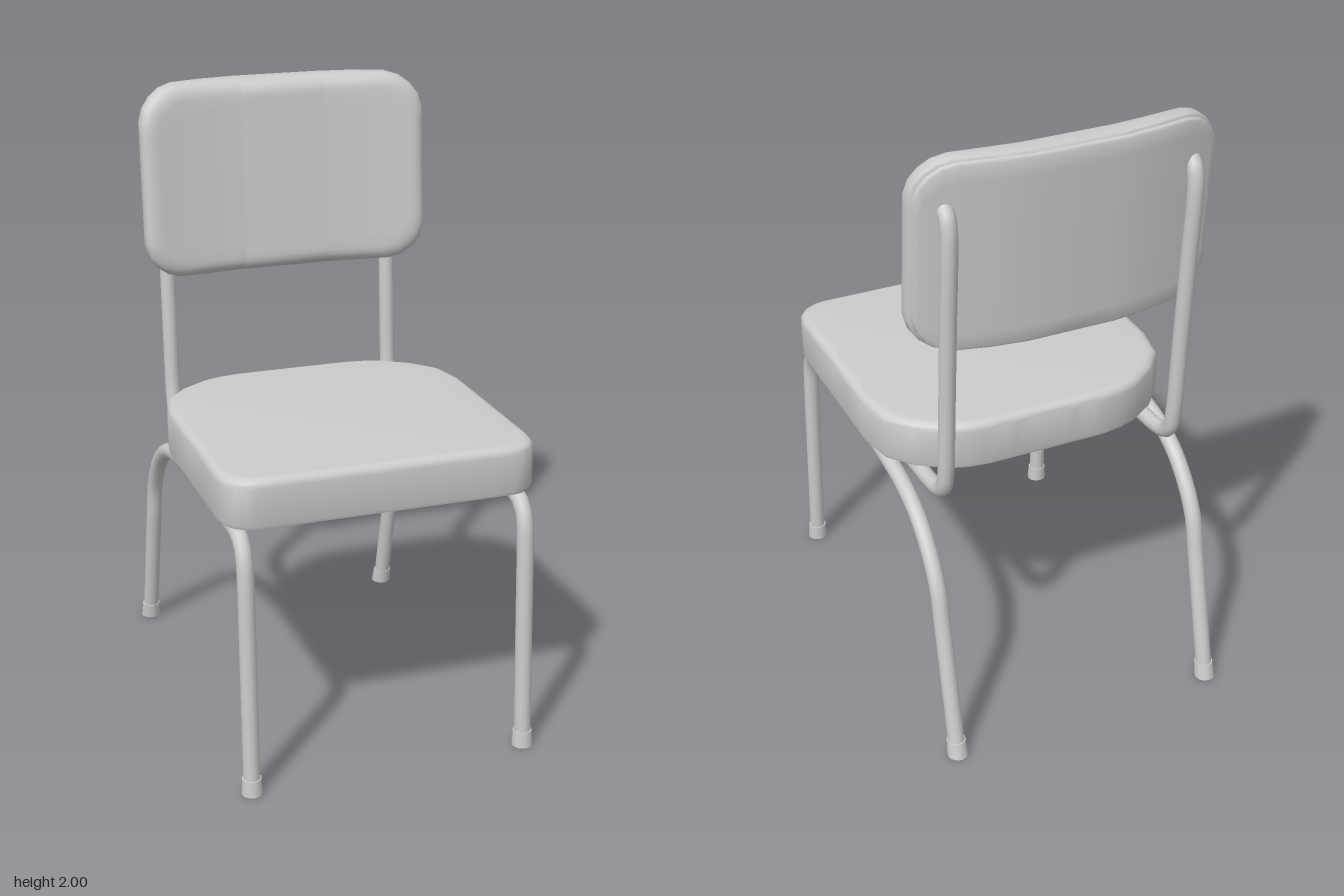
import * as THREE from 'three';
import { toCreasedNormals } from 'three/addons/utils/BufferGeometryUtils.js';

const material = new THREE.MeshStandardMaterial({ color: 0xcccccc });

function add(parent, name, geometry) {
  const mesh = new THREE.Mesh(geometry, material);
  mesh.name = name;
  parent.add(mesh);
  return mesh;
}

// Rounded slab. stations: [t, half width]; profile: [inset, depth] from bottom
// to top; map(t, s, d) places each point (right-handed t, s, d).
function slab(stations, profile, map, cells = 12) {
  const t0 = stations[0][0], t1 = stations[stations.length - 1][0];
  const mid = (t0 + t1) / 2, half = (t1 - t0) / 2;
  const wide = Math.max(...stations.map((s) => s[1]));
  const positions = [];
  const quad = (a, b, c, d) => positions.push(...a, ...b, ...c, ...a, ...c, ...d);
  const shrink = (t, s, inset) => [mid + (t - mid) * (1 - inset / half), s * (1 - inset / wide)];
  const point = (t, s, [inset, d]) => map(...shrink(t, s, inset), d);

  // Outline, with the straight ends and sides cut into cells
  const across = (i, k) => [stations[i][0], stations[i][1] * (2 * k / cells - 1)];
  const last = stations.length - 1;
  const outline = [];
  for (let i = 0; i < last; i++) outline.push(across(i, 0));
  for (let k = 0; k < cells; k++) outline.push(across(last, k));
  for (let i = last; i > 0; i--) outline.push(across(i, cells));
  for (let k = cells; k > 0; k--) outline.push(across(0, k));

  // Rim
  for (let r = 0; r < profile.length - 1; r++) {
    outline.forEach((p, j) => {
      const q = outline[(j + 1) % outline.length];
      quad(point(...p, profile[r]), point(...q, profile[r]),
        point(...q, profile[r + 1]), point(...p, profile[r + 1]));
    });
  }
  // Top and bottom faces
  const top = profile[profile.length - 1], bottom = profile[0];
  for (let i = 0; i < last; i++) {
    for (let k = 0; k < cells; k++) {
      const c = [across(i, k), across(i + 1, k), across(i + 1, k + 1), across(i, k + 1)];
      quad(...c.map((p) => point(...p, top)));
      quad(...c.reverse().map((p) => point(...p, bottom)));
    }
  }
  const geometry = new THREE.BufferGeometry();
  geometry.setAttribute('position', new THREE.Float32BufferAttribute(positions, 3));
  return toCreasedNormals(geometry, 0.6);
}

// Quarter-round edge ending at depth d
function roundEdge(r, d, steps = 5) {
  return Array.from({ length: steps + 1 }, (_, i) => {
    const a = (i / steps) * Math.PI / 2;
    return [r * (1 - Math.cos(a)), d - r + r * Math.sin(a)];
  });
}

// Bent pipe in a plane of constant x; points are [z, y]
function pipe(x, points, radius) {
  const curve = new THREE.CatmullRomCurve3(points.map(([z, y]) => new THREE.Vector3(x, y, z)), false, 'centripetal');
  return new THREE.TubeGeometry(curve, 72, radius, 12);
}

function createSeat(group) {
  const stations = [
    [-0.35, 0.2], [-0.34, 0.27], [-0.32, 0.33], [-0.26, 0.42], [-0.18, 0.485], [-0.06, 0.51],
    [0.08, 0.51], [0.22, 0.51], [0.36, 0.51], [0.5, 0.51], [0.55, 0.5], [0.585, 0.475], [0.605, 0.44], [0.61, 0.41],
  ];
  const profile = [[0.015, 0.855], [0.004, 0.86], [0, 0.872], ...roundEdge(0.028, 1.018)];
  const crown = (z, x) => 0.01 * Math.max(0, 1 - (x / 0.46) ** 2) * Math.max(0, 1 - ((z - 0.13) / 0.44) ** 2);
  add(group, 'seatCushion', slab(stations, profile,
    (z, x, d) => [x, d + (d > 1.017 ? crown(z, x) : 0), z]));
}

function createBackrest(group) {
  const halfOutline = [[0.145, 0.32], [0.26, 0.32], [0.37, 0.318], [0.415, 0.305], [0.45, 0.28], [0.477, 0.245], [0.49, 0.2]];
  const mirrored = [...halfOutline].reverse().map(([x, h]) => [-x, h]);
  const stations = [...mirrored, [0, 0.32], ...halfOutline];

  // Wraps forward at both sides and leans back towards the top
  const wrap = (x, s, d) => {
    const u = Math.max(0, Math.abs(x) - 0.145) / 0.345;
    const front = THREE.MathUtils.clamp((d + 0.5) / 0.1, 0, 1);
    return [x, 1.68 + s, d - 0.08 * s + (0.035 * u + 0.04 * u * u) * (1 - 0.4 * front)];
  };
  add(group, 'backrestPad', slab(stations,
    [[0.012, -0.503], [0.003, -0.497], [0, -0.485], ...roundEdge(0.05, -0.4)], wrap));
  add(group, 'backrestShell', slab(stations,
    [[0.018, -0.522], [0.01, -0.518], [0.008, -0.505], [0.012, -0.5]], wrap));

  // Middle upholstery panel, slightly proud of the pad
  const centre = [[-0.145, 0.319], [0, 0.319], [0.145, 0.319]];
  const panel = slab(centre, [[0, -0.49], [0, -0.44], [0, -0.396]],
    (x, s, d) => {
      // Follow the pad's rounded top and bottom edges
      const over = Math.max(0, Math.abs(s) - 0.27) / 0.05;
      const limit = -0.447 + 0.05 * Math.sqrt(Math.max(0, 1 - over * over));
      return wrap(x, s, Math.min(d, limit));
    }, 40);
  add(group, 'backrestCentrePanel', panel);
}

// Rubber foot, sheared to follow the leg while staying flat on the floor
function foot(x, z, slope) {
  const shear = new THREE.Matrix4().set(1, 0, 0, x, 0, 1, 0, 0, 0, slope, 1, z, 0, 0, 0, 1);
  return new THREE.CylinderGeometry(0.031, 0.034, 0.052, 12).translate(0, 0.026, 0).applyMatrix4(shear);
}

function createFrameSide(group, side) {
  const legX = side * 0.455, postX = side * 0.395;
  const frame = new THREE.Group();
  frame.name = side > 0 ? 'leftFrame' : 'rightFrame';
  group.add(frame);

  // Front leg, seat rail and rear leg in one pipe
  add(frame, 'legPipe', pipe(legX, [
    [0.649, 0.01], [0.632, 0.35], [0.612, 0.72], [0.605, 0.765], [0.585, 0.805], [0.545, 0.828], [0.48, 0.831],
    [0.25, 0.831], [0.03, 0.828], [-0.12, 0.818], [-0.24, 0.798], [-0.34, 0.76], [-0.43, 0.69],
    [-0.51, 0.575], [-0.545, 0.44], [-0.6, 0.21], [-0.647, 0.01],
  ], 0.027));
  add(frame, 'frontFoot', foot(legX, 0.65, -0.05));
  add(frame, 'rearFoot', foot(legX, -0.65, 0.23));

  // Back post: runs under the seat, turns up and hooks into the backrest
  const post = [
    [0.18, 0.835], [-0.05, 0.835], [-0.25, 0.837], [-0.36, 0.846], [-0.41, 0.862], [-0.44, 0.895], [-0.453, 0.95],
    [-0.47, 1.2], [-0.49, 1.5], [-0.506, 1.73], [-0.505, 1.79], [-0.494, 1.83], [-0.475, 1.848],
  ];
  add(frame, 'backPost', pipe(postX, post, 0.026));
  for (const [z, y] of [post[0], post[post.length - 1]]) {
    add(frame, 'postEnd', new THREE.SphereGeometry(0.026, 12, 8)).position.set(postX, y, z);
  }
}

export function createModel() {
  const group = new THREE.Group();
  group.name = 'chair';
  createSeat(group);
  createBackrest(group);
  for (const side of [-1, 1]) createFrameSide(group, side);
  return group;
}
